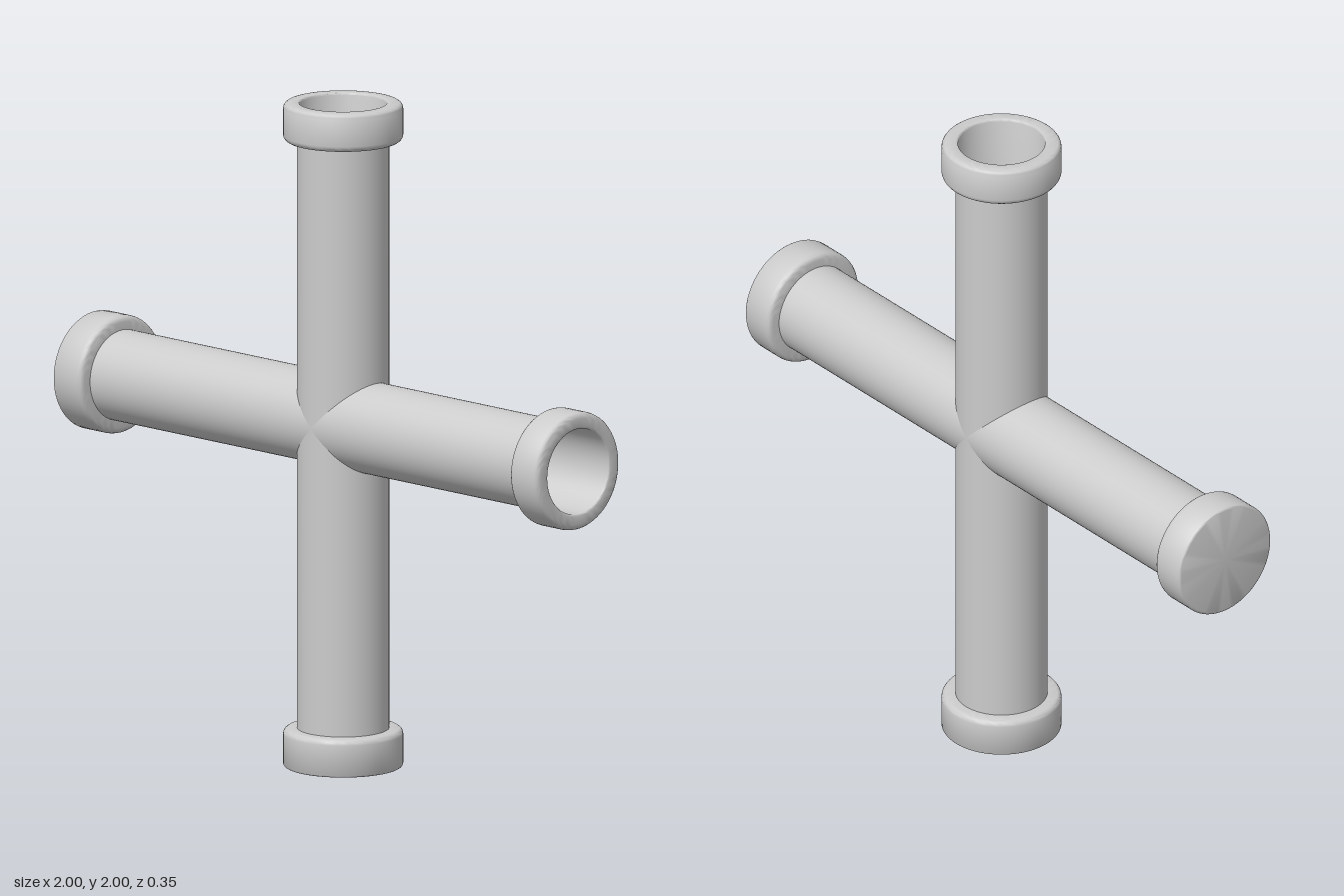
import * as THREE from 'three';
import { toCreasedNormals } from 'three/addons/utils/BufferGeometryUtils.js';

const PIPE_R = 0.136, BORE_R = 0.128, COLLAR_R = 0.177, COLLAR_L = 0.115;
const SEGMENTS = 64;
const CENTRE_X = 0.027, CENTRE_Y = 1.036;
const material = new THREE.MeshStandardMaterial({ color: 0xcccccc });

// Quarter-round corner points between two angles
function fillet(cx, cy, r, from, to, steps = 4) {
  const points = [];
  for (let i = 0; i <= steps; i++) {
    const a = from + (to - from) * i / steps;
    points.push(new THREE.Vector2(cx + r * Math.cos(a), cy + r * Math.sin(a)));
  }
  return points;
}

// Collar with its outer face at y = 0; an open one continues into the bore
function collarGeometry(open, boreDepth) {
  const f = 0.018, tip = open ? f : 0.009;
  const points = [
    new THREE.Vector2(PIPE_R - 0.004, -COLLAR_L),
    ...fillet(COLLAR_R - f, -COLLAR_L + f, f, -Math.PI / 2, 0),
    ...fillet(COLLAR_R - tip, -tip, tip, 0, Math.PI / 2),
  ];
  if (open) {
    points.push(...fillet(BORE_R + 0.006, -0.006, 0.006, Math.PI / 2, Math.PI, 3));
    points.push(new THREE.Vector2(BORE_R, -boreDepth));
  } else {
    points.push(new THREE.Vector2(0, 0));
  }
  return toCreasedNormals(new THREE.LatheGeometry(points, SEGMENTS), 0.6);
}

// Pipe along y with an open collar at the top end and a closed one at the bottom
function makePipe(name, low, high) {
  const pipe = new THREE.Group();
  pipe.name = name;

  const inset = COLLAR_L / 2;
  const length = high - low - 2 * inset;
  const tube = new THREE.Mesh(
    new THREE.CylinderGeometry(PIPE_R, PIPE_R, length, SEGMENTS, 1, true), material);
  tube.name = 'tube';
  tube.position.y = (low + high) / 2;

  const openCollar = new THREE.Mesh(collarGeometry(true, high), material);
  openCollar.name = 'openCollar';
  openCollar.position.y = high;

  const closedCollar = new THREE.Mesh(collarGeometry(false, 0), material);
  closedCollar.name = 'closedCollar';
  closedCollar.position.y = low;
  closedCollar.rotation.x = Math.PI;

  pipe.add(tube, openCollar, closedCollar);
  return pipe;
}

export function createModel() {
  const model = new THREE.Group();
  model.name = 'pipeCross';

  // Two equal pipes crossing at the joint
  const vertical = makePipe('verticalPipe', -CENTRE_Y, 2 - CENTRE_Y);
  const horizontal = makePipe('horizontalPipe', -1 - CENTRE_X, 1 - CENTRE_X);
  horizontal.rotation.z = -Math.PI / 2;
  for (const pipe of [vertical, horizontal]) {
    pipe.position.set(CENTRE_X, CENTRE_Y, 0);
    model.add(pipe);
  }
  return model;
}
